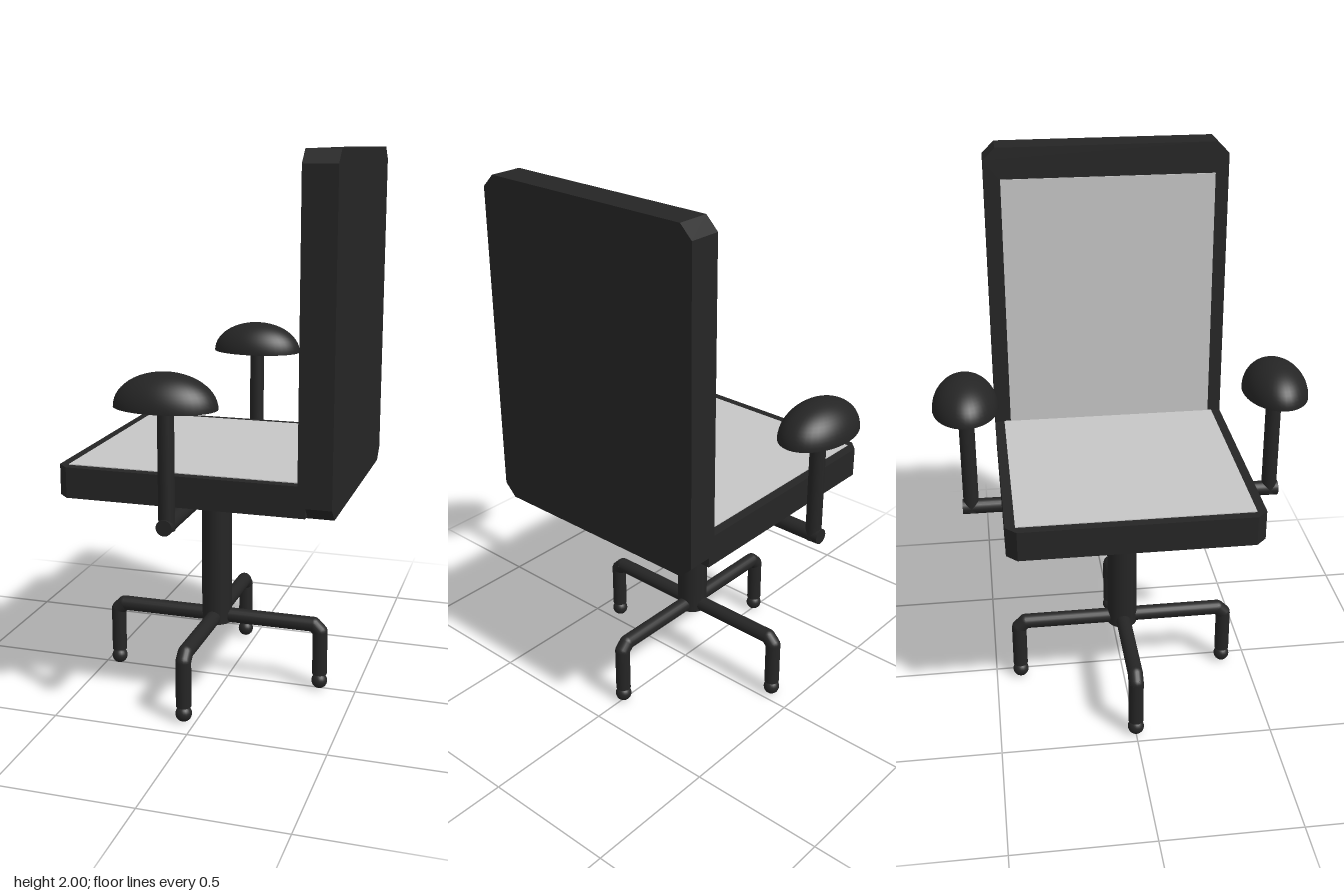
import * as THREE from 'three';

const dark = new THREE.MeshStandardMaterial({ color: 0x252525, side: THREE.DoubleSide });
dark.name = 'charcoal';
const pale = new THREE.MeshStandardMaterial({ color: 0xc6c6c6 });
pale.name = 'pale grey fabric';

function add(parent, name, geometry, material, x = 0, y = 0, z = 0) {
  const mesh = new THREE.Mesh(geometry, material);
  mesh.name = name;
  mesh.position.set(x, y, z);
  parent.add(mesh);
  return mesh;
}

// Round bar between two points
function rod(parent, name, a, b, r) {
  const from = new THREE.Vector3(...a), to = new THREE.Vector3(...b);
  const dir = to.clone().sub(from);
  const mesh = add(parent, name, new THREE.CylinderGeometry(r, r, dir.length(), 20), dark);
  mesh.position.copy(from).add(to).multiplyScalar(0.5);
  mesh.quaternion.setFromUnitVectors(new THREE.Vector3(0, 1, 0), dir.normalize());
  return mesh;
}

// Slab with cut corners: cl on the low-x corners, cr on the high-x corners
function slab(x0, x1, y0, y1, cl, cr, depth) {
  const outline = [
    [x0 + cl, y0], [x1 - cr, y0], [x1, y0 + cr], [x1, y1 - cr],
    [x1 - cr, y1], [x0 + cl, y1], [x0, y1 - cl], [x0, y0 + cl],
  ].map(([x, y]) => new THREE.Vector2(x, y));
  return new THREE.ExtrudeGeometry(new THREE.Shape(outline), { depth, bevelEnabled: false });
}

export function createModel() {
  const chair = new THREE.Group();
  chair.name = 'officeChair';
  const cx = -0.043; // axis of the column, legs and arms

  // Seat with its cushion panel
  add(chair, 'seat', slab(-0.49, 0.4, -0.45, 0.45, 0.038, 0, 0.11).rotateX(-Math.PI / 2), dark, 0, 0.81, 0);
  add(chair, 'seatCushion', new THREE.BoxGeometry(0.827, 0.006, 0.83), pale, -0.0415, 0.92, 0);

  // Backrest with its cushion panel on the seat side
  add(chair, 'backrest', slab(-0.45, 0.45, 0.8, 2, 0.045, 0.045, 0.117).rotateY(-Math.PI / 2), dark, 0.49, 0, 0);
  add(chair, 'backCushion', new THREE.BoxGeometry(0.008, 0.965, 0.79), pale, 0.373, 1.4025, 0.005);

  // Centre column
  rod(chair, 'column', [cx, 0.228, 0], [cx, 0.815, 0], 0.057);

  // Four bent legs with ball feet
  for (let i = 0; i < 4; i++) {
    const leg = new THREE.Group();
    leg.name = 'leg';
    leg.position.x = cx;
    leg.rotation.y = i * Math.PI / 2;
    const path = [[0, 0.253, 0], [0.38, 0.253, 0], [0.405, 0.228, 0], [0.405, 0.058, 0]];
    for (let j = 0; j < 3; j++) {
      rod(leg, 'legTube', path[j], path[j + 1], 0.028);
      if (j) add(leg, 'legJoint', new THREE.SphereGeometry(0.028, 16, 12), dark, ...path[j]);
    }
    add(leg, 'footBall', new THREE.SphereGeometry(0.03, 20, 14), dark, 0.405, 0.03, 0);
    chair.add(leg);
  }

  // Arm crossbar, posts and hollow domed rests
  rod(chair, 'armCrossbar', [cx, 0.781, -0.592], [cx, 0.781, 0.592], 0.028);
  for (const s of [-1, 1]) {
    rod(chair, 'armPost', [cx, 0.765, s * 0.56], [cx, 1.25, s * 0.56], 0.028);
    const dome = new THREE.SphereGeometry(1, 40, 14, 0, Math.PI * 2, 0, Math.PI / 2);
    dome.scale(0.177, 0.117, 0.117);
    add(chair, 'armRest', dome, dark, cx, 1.182, s * 0.56);
  }
  return chair;
}
